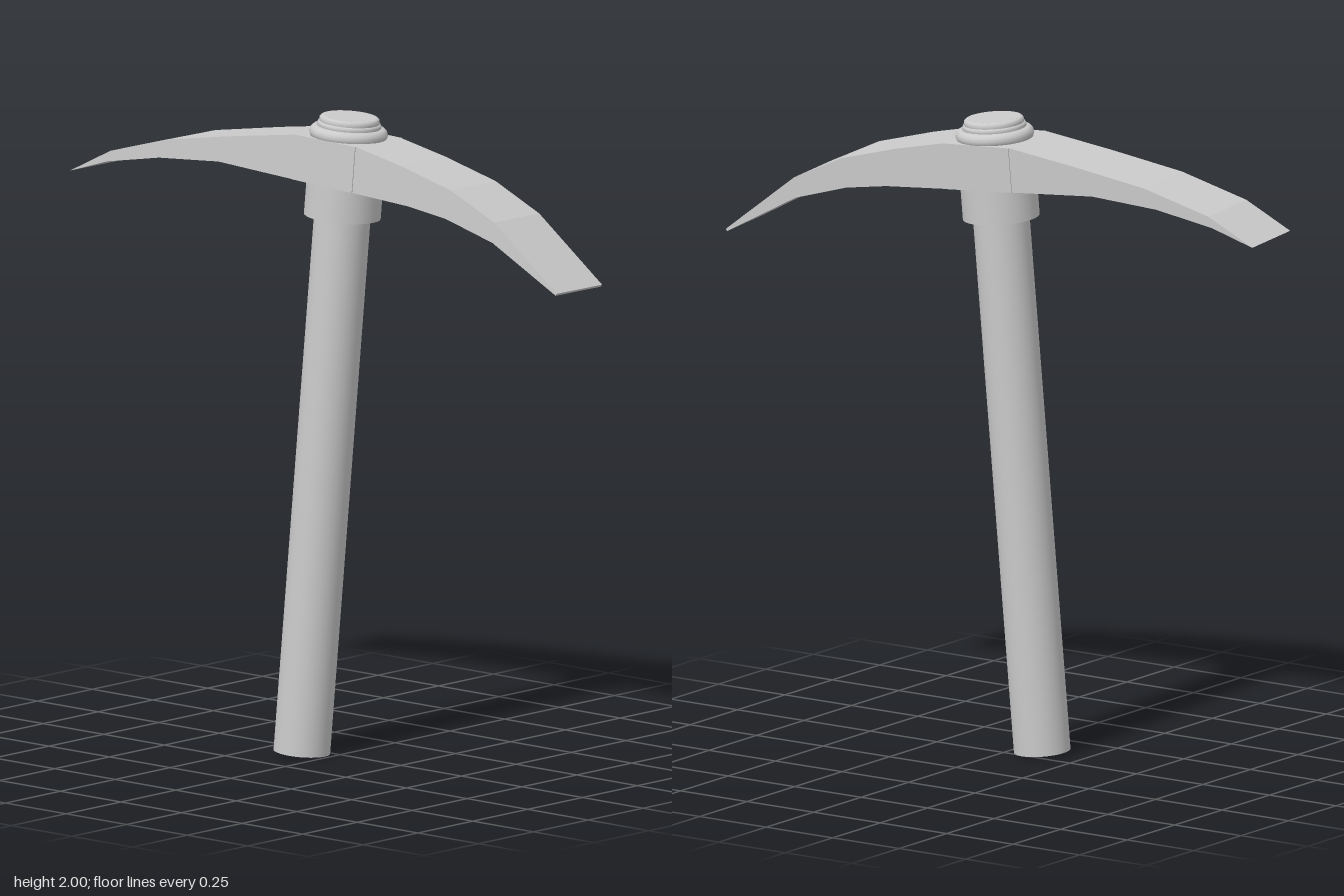
import * as THREE from 'three';

export function createModel() {
  const tool = new THREE.Group();
  tool.name = 'pickaxe';
  const material = new THREE.MeshStandardMaterial({ color: 0xcccccc });

  const add = (name, geometry, y = 0) => {
    const mesh = new THREE.Mesh(geometry, material);
    mesh.name = name;
    mesh.position.y = y;
    tool.add(mesh);
  };

  // Side outline of a head piece, extruded evenly about z = 0
  const slab = (points, width) => {
    const shape = new THREE.Shape(points.map(([x, y]) => new THREE.Vector2(x, y)));
    return new THREE.ExtrudeGeometry(shape, { depth: width, bevelEnabled: false })
      .translate(0, 0, -width / 2);
  };

  const lathe = (points) =>
    new THREE.LatheGeometry(points.map(([x, y]) => new THREE.Vector2(x, y)), 40);

  // Round shaft
  add('handle', new THREE.CylinderGeometry(0.087, 0.087, 1.9, 32), 0.95);

  // Sleeve under the head
  add('collar', new THREE.CylinderGeometry(0.118, 0.118, 0.13, 32), 1.745);

  // Eye block between the arms
  add('headBlock', slab([[-0.115, 1.788], [0.115, 1.788], [0.115, 1.932], [-0.115, 1.928]], 0.236));

  // Arms: lower edge out to the tip, then back along the upper edge
  add('rightArm', slab([
    [-0.115, 1.928], [-0.337, 1.882], [-0.588, 1.825], [-0.811, 1.747], [-0.959, 1.657],
    [-0.82, 1.712], [-0.626, 1.76], [-0.4, 1.79], [-0.115, 1.788],
  ], 0.23));
  add('leftArm', slab([
    [0.115, 1.788], [0.333, 1.786], [0.476, 1.774], [0.66, 1.733], [0.914, 1.615],
    [0.918, 1.622], [0.66, 1.797], [0.486, 1.866], [0.288, 1.906], [0.115, 1.932],
  ], 0.23));

  // Stepped cap with rounded rims
  add('capFlange', lathe([
    [0, 1.92], [0.108, 1.92], [0.117, 1.928], [0.121, 1.94], [0.118, 1.952],
    [0.11, 1.96], [0.1, 1.962], [0, 1.962],
  ]));
  add('capButton', lathe([
    [0, 1.95], [0.098, 1.95], [0.099, 1.968], [0.096, 1.974], [0.09, 1.976],
  ]));
  add('capTop', lathe([
    [0.09, 1.965], [0.093, 1.978], [0.092, 1.987], [0.087, 1.992], [0.08, 1.993],
  ]));
  add('capFace', new THREE.CylinderGeometry(0.081, 0.081, 0.02, 40), 1.983);

  // Lean the shaft and turn the head
  const up = new THREE.Vector3(0.125, 1.98, -0.08).normalize();
  const along = new THREE.Vector3(1, 0, -0.09);
  along.addScaledVector(up, -along.dot(up)).normalize();
  const across = new THREE.Vector3().crossVectors(along, up);
  tool.quaternion.setFromRotationMatrix(new THREE.Matrix4().makeBasis(along, up, across));
  tool.position.set(-0.098, 0.008, 0.067);

  const model = new THREE.Group();
  model.add(tool);
  return model;
}
